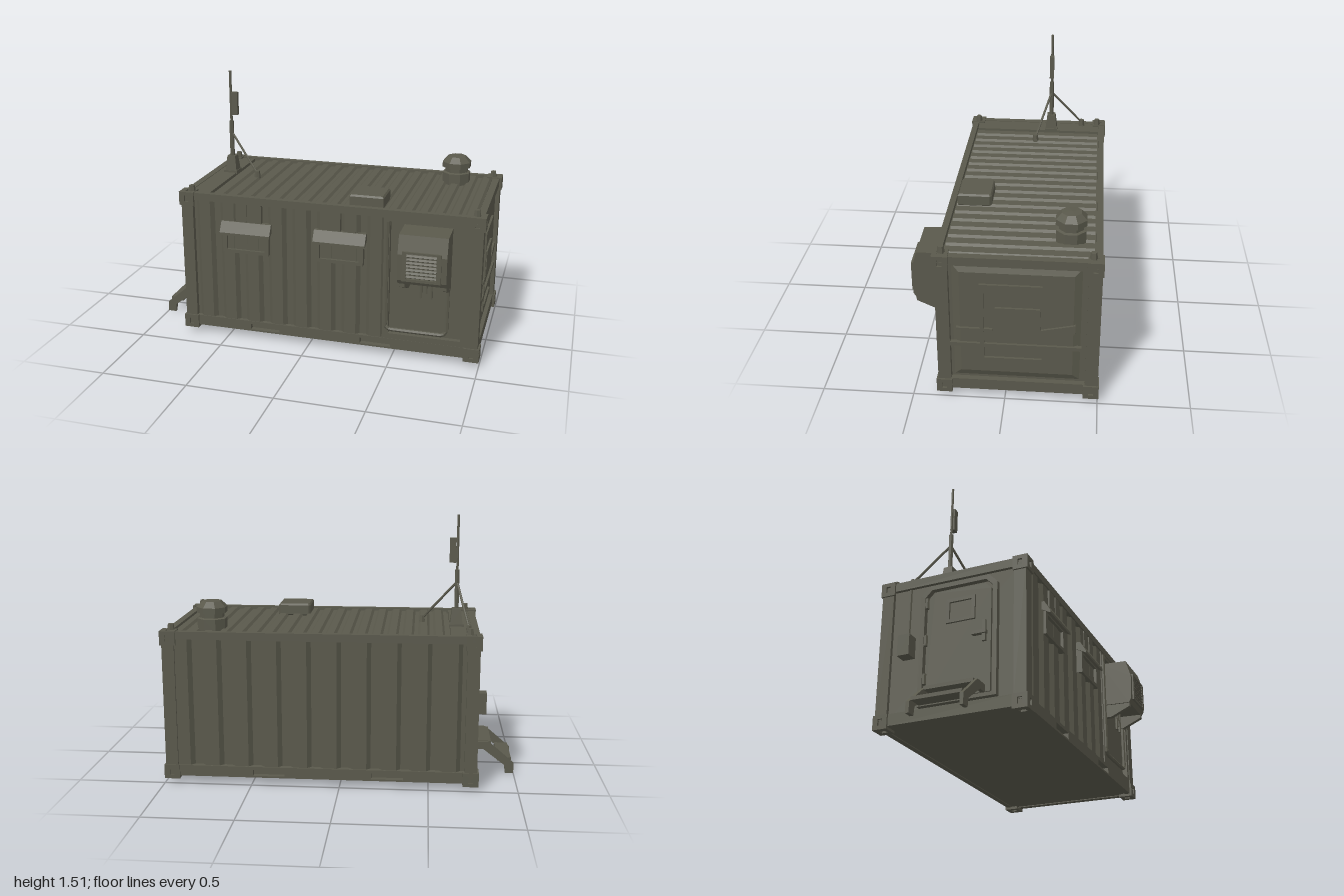
import * as THREE from 'three';

const olive = new THREE.MeshStandardMaterial({ color: 0x5a594c, flatShading: true });
olive.name = 'olive drab paint';

export function createModel() {
  const root = new THREE.Group();
  root.name = 'containerShelter';

  const add = (name, geo, parent = root) => {
    const m = new THREE.Mesh(geo, olive);
    m.name = name;
    parent.add(m);
    return m;
  };
  // Box given by its min and max on each axis
  const box = (name, x0, x1, y0, y1, z0, z1, parent) =>
    add(name, new THREE.BoxGeometry(x1 - x0, y1 - y0, z1 - z0)
      .translate((x0 + x1) / 2, (y0 + y1) / 2, (z0 + z1) / 2), parent);
  const poly = pts => new THREE.Shape(pts.map(p => new THREE.Vector2(...p)));
  const rect = (x0, x1, y0, y1) => [[x0, y0], [x1, y0], [x1, y1], [x0, y1]];
  const extrude = (shape, depth) =>
    new THREE.ExtrudeGeometry(shape, { depth, bevelEnabled: false, curveSegments: 6 });
  const plate = (outer, holes, depth) => {
    const s = poly(outer);
    holes.forEach(h => s.holes.push(poly(h)));
    return extrude(s, depth);
  };
  // Profile of [z, y] points swept along x
  const sweepX = (name, pts, x0, x1, parent) =>
    add(name, extrude(poly(pts.map(([z, y]) => [-z, y])), x1 - x0)
      .rotateY(Math.PI / 2).translate(x0, 0, 0), parent);
  // Round bar between two points
  const bar = (name, a, b, r, parent) => {
    const A = new THREE.Vector3(...a), B = new THREE.Vector3(...b);
    const m = add(name, new THREE.CylinderGeometry(r, r, A.distanceTo(B), 6), parent);
    m.position.copy(A).add(B).multiplyScalar(0.5);
    m.quaternion.setFromUnitVectors(new THREE.Vector3(0, 1, 0), B.sub(A).normalize());
    return m;
  };
  // Bent tube through straight runs
  const pipe = (name, pts, r) => {
    const path = new THREE.CurvePath();
    const v = pts.map(p => new THREE.Vector3(...p));
    for (let i = 1; i < v.length; i++) path.add(new THREE.LineCurve3(v[i - 1], v[i]));
    return add(name, new THREE.TubeGeometry(path, 60, r, 6));
  };
  // Box whose outer +x face is shrunk by a margin
  const pressedPanel = (name, x0, x1, y0, y1, z0, z1, margin) => {
    const g = new THREE.BoxGeometry(x1 - x0, y1 - y0, z1 - z0);
    const p = g.attributes.position;
    for (let i = 0; i < p.count; i++) if (p.getX(i) > 0) {
      p.setY(i, p.getY(i) - Math.sign(p.getY(i)) * margin);
      p.setZ(i, p.getZ(i) - Math.sign(p.getZ(i)) * margin);
    }
    g.translate((x0 + x1) / 2, (y0 + y1) / 2, (z0 + z1) / 2);
    return add(name, g);
  };
  // Trapezoid corrugation, ridge at 0 and valley at -depth
  const corrugated = (x0, x1, n, depth, length) => {
    const w = (x1 - x0) / n, pts = [[x0, -0.04]];
    for (let i = 0; i < n; i++) {
      [[0, -depth], [0.25, -depth], [0.4, 0], [0.85, 0], [1, -depth]]
        .forEach(([t, d]) => { if (i === 0 || t > 0) pts.push([x0 + (i + t) * w, d]); });
    }
    pts.push([x1, -0.04]);
    return extrude(poly(pts.reverse()), length);
  };

  // Core, walls and roof
  box('core', -0.75, 0.955, 0.05, 0.855, -0.465, 0.325);
  add('frontWall', corrugated(-0.72, 0.45, 8, 0.02, 0.75).rotateX(Math.PI / 2).translate(0, 0.85, 0.352));
  add('backWall', corrugated(-0.72, 0.95, 10, 0.025, 0.75).rotateX(-Math.PI / 2).translate(0, 0.1, -0.488));
  add('roof', corrugated(-0.6, 0.94, 18, 0.012, 0.77).translate(0, 0.879, -0.455));
  box('roofEndPlate', -0.75, -0.61, 0.85, 0.877, -0.46, 0.32);

  // Frame: posts, rails and corner castings
  for (const x of [-0.77, 0.92]) for (const [z, s] of [[-0.5, -1], [0.29, 1]])
    box('cornerPost', x, x + 0.07, 0.08, 0.85, z, z + 0.07);
  const pockets = [rect(-0.36, -0.18, 0.055, 0.09), rect(0.31, 0.49, 0.055, 0.09)];
  for (const z of [-0.497, 0.325]) {
    add('bottomRail', plate(rect(-0.74, 0.96, 0.045, 0.108), pockets, 0.032)).position.z = z;
    box('topRail', -0.74, 0.96, 0.84, 0.884, z, z + 0.034);
  }
  for (const x of [-0.77, 0.945]) {
    box('endBottomRail', x, x + 0.04, 0.045, 0.11, -0.45, 0.31);
    box('endTopRail', x, x + 0.04, 0.83, 0.88, -0.45, 0.31);
  }
  const castingFace = w => plate(rect(-w, w, -0.04, 0.04),
    [[[-0.013, -0.018], [0.013, -0.018], [0.013, 0.018], [-0.013, 0.018]]], 0.014);
  for (const sx of [-1, 1]) for (const sy of [-1, 1]) for (const sz of [-1, 1]) {
    const c = new THREE.Group();
    c.name = 'cornerCasting';
    c.position.set(0.11 + sx * 0.845, sy < 0 ? 0.069 : 0.847, -0.068 + sz * 0.395);
    add('castingCore', new THREE.BoxGeometry(0.064, 0.054, 0.062), c);
    const side = add('castingSide', castingFace(0.042), c);
    side.rotation.y = sx * Math.PI / 2;
    side.position.x = sx * 0.031;
    const front = add('castingFront', castingFace(0.044), c);
    front.rotation.y = sz > 0 ? 0 : Math.PI;
    front.position.z = sz * 0.029;
    const cap = add('castingCap', castingFace(0.044), c);
    cap.rotation.x = -sy * Math.PI / 2;
    cap.position.y = sy * 0.026;
    root.add(c);
  }
  for (const [x, z] of [[-0.715, 0.325], [0.945, 0.325], [0.945, -0.45], [-0.715, -0.45]])
    add('liftingLug', new THREE.CylinderGeometry(0.016, 0.022, 0.04, 6)).position.set(x, 0.9, z);

  // Front windows with rain hoods
  for (const x of [-0.515, 0.045]) {
    add('windowFrame', plate(rect(x, x + 0.28, 0.54, 0.69),
      [rect(x + 0.025, x + 0.255, 0.56, 0.66)], 0.037)).position.z = 0.33;
    box('windowPane', x + 0.01, x + 0.27, 0.55, 0.68, 0.33, 0.35);
    sweepX('windowHood', [[0.33, 0.73], [0.36, 0.73], [0.395, 0.67], [0.395, 0.655], [0.33, 0.69]],
      x - 0.008, x + 0.295);
    for (const dx of [0.08, 0.17]) box('hoodBacking', x + dx, x + dx + 0.065, 0.72, 0.84, 0.33, 0.357);
  }

  // Service bay with air conditioner
  add('serviceBayFrame', plate(rect(0.44, 0.925, 0.105, 0.845), [rect(0.475, 0.89, 0.14, 0.82)], 0.03))
    .position.z = 0.325;
  pipe('servicePipe', [[0.46, 0.82, 0.36], [0.46, 0.19, 0.36], [0.48, 0.17, 0.36], [0.79, 0.17, 0.36],
    [0.81, 0.19, 0.36], [0.81, 0.5, 0.36]], 0.012);
  const ac = new THREE.Group();
  ac.name = 'airConditioner';
  root.add(ac);
  sweepX('housing', [[0.32, 0.52], [0.49, 0.515], [0.505, 0.54], [0.51, 0.69], [0.48, 0.795], [0.32, 0.8]],
    0.55, 0.82, ac);
  add('grilleFrame', plate(rect(0.575, 0.79, 0.54, 0.71), [rect(0.6, 0.765, 0.555, 0.7)], 0.012), ac)
    .position.z = 0.505;
  for (let i = 0; i < 7; i++) {
    const l = add('louvre', new THREE.BoxGeometry(0.165, 0.012, 0.01), ac);
    l.position.set(0.682, 0.567 + i * 0.02, 0.511);
    l.rotation.x = -0.5;
  }
  for (const x of [0.56, 0.79])
    sweepX('bracket', [[0.32, 0.44], [0.37, 0.44], [0.49, 0.495], [0.49, 0.52], [0.32, 0.52]], x, x + 0.03, ac);
  for (const [x, y] of [[0.66, 0.39], [0.69, 0.42], [0.72, 0.39]])
    bar('hose', [x, 0.53, 0.37], [x, y, 0.37], 0.009, ac);

  // Right end: pressed wall with ribs
  pressedPanel('endPanel', 0.95, 0.972, 0.112, 0.835, -0.41, 0.285, 0.05);
  const ribs = (name, pts, t) => {
    for (let i = 1; i < pts.length; i++) {
      const [z0, y0] = pts[i - 1], [z1, y1] = pts[i];
      const g = new THREE.BoxGeometry(0.022, t, Math.hypot(z1 - z0, y1 - y0) + t);
      g.rotateX(-Math.atan2(y1 - y0, z1 - z0));
      add(name, g).position.set(0.974, (y0 + y1) / 2, (z0 + z1) / 2);
    }
  };
  ribs('bracketRib', [[-0.185, 0.71], [0.12, 0.71], [0.12, 0.25], [-0.185, 0.25]], 0.022);
  ribs('crossRib', [[0.28, 0.34], [-0.395, 0.34]], 0.022);
  ribs('sideRib', [[0.25, 0.44], [0.07, 0.44]], 0.012);
  sweepX('raisedPanel', [[0.065, 0.44], [0.05, 0.58], [-0.185, 0.58], [-0.19, 0.45], [-0.37, 0.49],
    [-0.37, 0.44], [-0.17, 0.43]].reverse(), 0.96, 0.984);

  // Left end: door, frame, fittings
  const doorOutline = (z0, z1, y0, y1, c) =>
    [[z0, y0], [z1, y0], [z1, y1 - c], [z1 - c, y1], [z0 + c, y1], [z0, y1 - c]];
  const onLeft = (name, geo, x) => {
    add(name, geo.rotateY(-Math.PI / 2)).position.x = x;
  };
  onLeft('doorFrame', plate(doorOutline(-0.25, 0.2, 0.12, 0.81, 0.05),
    [doorOutline(-0.225, 0.175, 0.14, 0.785, 0.04)], 0.035), -0.745);
  onLeft('door', plate(doorOutline(-0.21, 0.16, 0.15, 0.77, 0.035), [], 0.02), -0.745);
  onLeft('doorWindowFrame', plate(rect(-0.1, 0.07, 0.57, 0.71), [rect(-0.08, 0.05, 0.59, 0.69)], 0.014), -0.763);
  box('doorHandle', -0.79, -0.765, 0.47, 0.49, 0.06, 0.14);
  box('doorLock', -0.78, -0.76, 0.43, 0.55, 0.115, 0.135);
  for (const y of [0.24, 0.46, 0.68]) bar('doorHinge', [-0.773, y, -0.215], [-0.773, y + 0.06, -0.215], 0.012);
  box('junctionBox', -0.82, -0.745, 0.41, 0.53, -0.36, -0.29);
  bar('conduit', [-0.765, 0.53, -0.325], [-0.765, 0.82, -0.325], 0.009);

  // Entry steps
  const stringer = [[-1, 0], [-0.952, 0], [-0.945, 0.05], [-0.82, 0.145], [-0.76, 0.145],
    [-0.76, 0.188], [-0.85, 0.188], [-1, 0.06]];
  for (const z of [-0.183, 0.112]) add('stepStringer', extrude(poly(stringer), 0.02)).position.z = z;
  box('topStep', -0.865, -0.76, 0.17, 0.19, -0.165, 0.115);
  box('lowerStep', -0.985, -0.905, 0.07, 0.09, -0.165, 0.115);

  // Roof hatch box
  const hatch = poly(doorOutline(0.23, 0.425, 0.12, 0.31, 0.012));
  add('roofBox', new THREE.ExtrudeGeometry(hatch, { depth: 0.055, bevelThickness: 0.01, bevelSize: 0.008,
    bevelOffset: -0.008, bevelSegments: 1 }).rotateX(-Math.PI / 2).translate(0, 0.874, 0.43));

  // Octagonal roof ventilator
  const vent = add('roofVent', new THREE.LatheGeometry([[0.085, 0.86], [0.085, 0.935], [0.07, 0.94],
    [0.07, 0.965], [0.088, 0.968], [0.088, 1], [0.055, 1.033], [0, 1.036]]
    .map(p => new THREE.Vector2(...p)), 8, Math.PI / 8));
  vent.position.set(0.735, 0, -0.33);

  // Antenna mast with braces
  const mx = -0.645, mz = -0.155;
  const foot = add('mastFoot', new THREE.CylinderGeometry(0.036, 0.052, 0.1, 4, 1).rotateY(Math.PI / 4));
  foot.position.set(mx, 0.93, mz);
  box('mastBasePlate', mx - 0.045, mx + 0.04, 0.87, 0.89, mz - 0.04, mz + 0.04);
  bar('mastLower', [mx, 0.97, mz], [mx, 1.2, mz], 0.014);
  bar('mastUpper', [mx, 1.2, mz], [mx, 1.51, mz], 0.008);
  box('antennaPanel', mx + 0.008, mx + 0.045, 1.24, 1.38, mz - 0.013, mz + 0.013);
  for (const [x, z] of [[-0.45, -0.065], [-0.71, -0.35]]) {
    bar('mastBrace', [mx, 1.13, mz], [x, 0.9, z], 0.007);
    add('braceFoot', new THREE.CylinderGeometry(0.015, 0.02, 0.045, 6)).position.set(x, 0.895, z);
  }
  return root;
}
